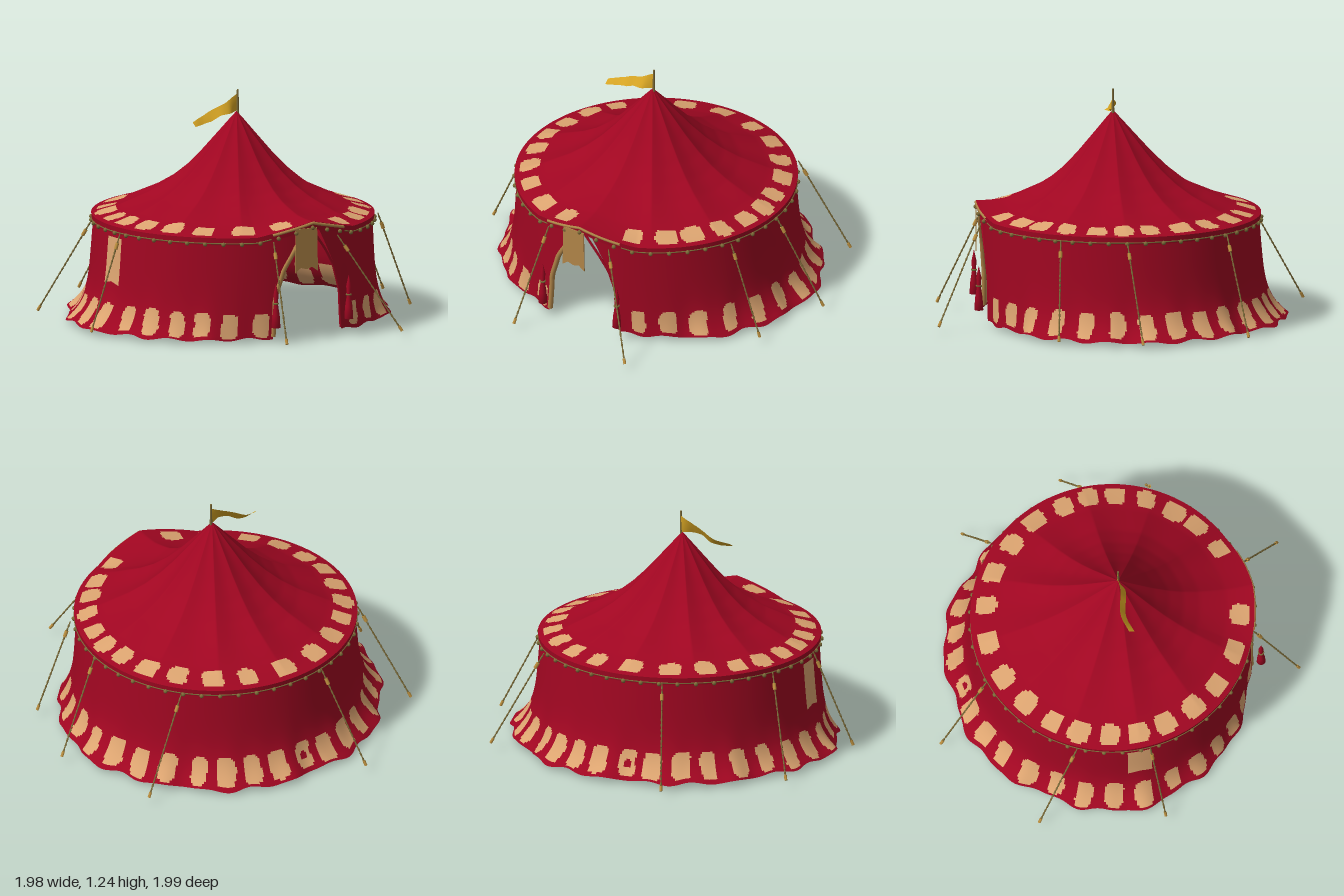
import * as THREE from 'three';

const mat = (name, color) => {
  const m = new THREE.MeshStandardMaterial({ color, side: THREE.DoubleSide });
  m.name = name;
  return m;
};
const CX = -0.02; // tent axis
const TAU = Math.PI * 2;
const { sin, cos, abs, min, max, round, pow } = Math;
const jitter = (i) => { const s = sin(i * 12.9898 + 4.1) * 43758.5453; return s - Math.floor(s) - 0.5; };
const wrap = (a) => a - TAU * round(a / TAU);
const lerp = THREE.MathUtils.lerp;

// piecewise-linear lookup in [[key, value], ...]
function lookup(pts, k) {
  for (let i = 1; i < pts.length; i++) {
    const [k0, a] = pts[i - 1], [k1, b] = pts[i];
    if (k <= k1) return lerp(a, b, max(0, (k - k0) / (k1 - k0)));
  }
  return pts[pts.length - 1][1];
}

// Hand-sewn patch directions in degrees, 0 = front, 90 = the tent's left
const ROOF_PATCHES = [22, 37, 49, 63, 77, 89, 101, 116, 131, 147, 163, 181,
  -12, -29, -47, -62, -77, -90, -103, -117, -130, -145, -161];
const HEM_PATCHES = [25, 37, 49, 62, 74, 86, 97, 108, 119, 130, 142, 152, 162, 172, 183.5,
  -22, -35, -46, -56, -67, -78, -90, -101, -112, -123, -134, -146, -156, -167];

// Is the point (angle, h) on a rounded, slightly irregular patch?
const onPatch = (list, a, h, mid, half, width) => list.some((deg, id) => {
  const dy = (h - mid - jitter(id + 90) * half * 0.25) / half;
  const off = wrap(a - deg * TAU / 360) * 360 / TAU + 0.3 * sin(dy * 3 + id);
  const dx = off / (width * (1 + jitter(id + 50) * 0.25));
  return pow(abs(dx), 4) + pow(abs(dy), 4) < 1;
});

export function createModel() {
  const tent = new THREE.Group();
  tent.name = 'pavilionTent';
  const red = mat('red canvas', 0xa00621);
  const sand = mat('sand patches', 0xdca470);
  const tan = mat('tan cloth', 0xb18548);
  const gold = mat('gold flag', 0xd6a424);
  const wood = mat('golden wood', 0xbd903f);
  const cordMat = mat('olive cord', 0x7c6b38);

  const add = (name, geo, material, parent = tent) => {
    const m = new THREE.Mesh(geo, material);
    m.name = name;
    parent.add(m);
    return m;
  };
  const V = (p) => new THREE.Vector3(...p);
  const tube = (name, pts, r, material, seg = 24) =>
    add(name, new THREE.TubeGeometry(new THREE.CatmullRomCurve3(pts.map(V)), seg, r, 6), material);

  // Grid surface; mask(u, v) true puts a cell into the second material
  function surface(name, nu, nv, closed, fn, materials, mask = () => false) {
    const pos = [], cells = [[], []], cols = closed ? nu : nu + 1;
    for (let j = 0; j <= nv; j++)
      for (let i = 0; i < cols; i++) pos.push(...fn(i / nu, j / nv));
    for (let j = 0; j < nv; j++)
      for (let i = 0; i < nu; i++) {
        const a = j * cols + i, b = j * cols + (i + 1) % cols, c = a + cols, d = b + cols;
        cells[mask((i + 0.5) / nu, (j + 0.5) / nv) ? 1 : 0].push(a, b, d, a, d, c);
      }
    const g = new THREE.BufferGeometry();
    g.setAttribute('position', new THREE.Float32BufferAttribute(pos, 3));
    g.setIndex([...cells[0], ...cells[1]]);
    g.addGroup(0, cells[0].length, 0);
    g.addGroup(cells[0].length, cells[1].length, 1);
    g.computeVertexNormals();
    return add(name, g, materials);
  }

  // Eave line, lifted over the doorway
  const lift = (a) => 0.07 * max(0, 1 - abs(wrap(a)) / 0.42);
  const rim = (a, r = 0.752, y = 0.575) =>
    [CX + sin(a) * r, y + lift(a), cos(a) * (r + lift(a) * 0.15)];

  // Roof: concave cone with ridges and sagging panels
  const roofLine = [[0, 1.125], [0.04, 1.08], [0.1, 1.01], [0.2, 0.895], [0.28, 0.815], [0.36, 0.75],
    [0.45, 0.695], [0.6, 0.627], [0.752, 0.575]];
  surface('roof', 480, 54, true, (u, v) => {
    const a = u * TAU, s = max(v, 0.002), r = 0.752 * s;
    const sag = 0.022 * 4 * s * (1 - s) * abs(sin(a * 6));
    return [CX + sin(a) * r, lookup(roofLine, r) - sag + lift(a) * pow(s, 4),
      0.035 * (1 - s) + cos(a) * (r + lift(a) * 0.15 * s)];
  }, [red, sand], (u, v) => onPatch(ROOF_PATCHES, u * TAU, v, 0.895, 0.07, 4.6));

  // Valance under the eave with its cord and knots
  surface('valance', 180, 2, true, (u, v) => rim(u * TAU, 0.752 - 0.004 * v, 0.575 - 0.04 * v), [red, red]);
  const cord = [];
  for (let i = 6; i <= 114; i++) cord.push(rim(i / 120 * TAU, 0.75, 0.545));
  tube('eaveCord', cord, 0.0035, cordMat, 120);
  const knots = new THREE.Group();
  knots.name = 'eaveKnots';
  tent.add(knots);
  for (let i = 0; i < 48; i++) {
    const k = add('knot', new THREE.SphereGeometry(0.012, 8, 6), cordMat, knots);
    k.position.set(...rim(i / 48 * TAU, 0.753, 0.54));
  }

  // Wall: nearly upright, splayed hem at the sides and back, open at the front
  const doorLine = [[0, 0.3], [0.25, 0.28], [0.4, 0.21], [0.5, 0.12], [0.6, 0.012], [0.7, 0.012]];
  const wallPoint = (a, y, out = 0) => {
    const w = abs(wrap(a)), low = 1 - min(1, max(0, (y - 0.03) / 0.53)), hem = pow(low, 6);
    const side = THREE.MathUtils.smoothstep(w, 0.25, 1.7);
    const fold = pow(low, 4) * (0.012 * sin(a * 15) + 0.011 * sin(a * 7 + 1) + 0.005 * sin(a * 31)) * min(1, w);
    const r = 0.74 + out + low * 0.042 * side + hem * (0.005 + 0.1 * side) + fold;
    return [CX + sin(a) * r, y + hem * 0.007 * sin(a * 23), cos(a) * r];
  };
  const wallAt = (u, v) => {
    const base = 0.028 + 0.532 * v, e = lookup(doorLine, base);
    return [e + u * (TAU - 2 * e), base];
  };
  const wallTop = (u, v) => {
    const [a, y] = wallAt(u, v);
    return [a, y + lift(a) * pow(v, 3)];
  };
  surface('wall', 480, 56, false, (u, v) => wallPoint(...wallTop(u, v)), [red, sand], (u, v) => {
    const [a, y] = wallAt(u, v);
    const hole = Math.hypot(wrap(a - 3.2) * 0.8, y - 0.1) < 0.02; // worn spot at the back
    return !hole && onPatch(HEM_PATCHES, a, y, 0.105, 0.064, 3.2);
  });

  // Doorway: edging and small gathered curtains on both sides
  for (const side of [-1, 1]) {
    const edge = [];
    for (let y = 0.04; y < 0.6; y += 0.05) edge.push(wallPoint(side * lookup(doorLine, y), y, -0.003));
    tube('doorEdging', edge, side < 0 ? 0.014 : 0.007, side < 0 ? tan : red);
    const prof = [[0.001, 0.09], [0.024, 0.095], [0.02, 0.16], [0.01, 0.225], [0.014, 0.27], [0.001, 0.33]];
    const bundle = add('tiedCurtain', new THREE.LatheGeometry(prof.map((p) => new THREE.Vector2(...p)), 12), red);
    bundle.position.set(CX + side * 0.232, 0, 0.76);
    const tie = add('curtainTie', new THREE.TorusGeometry(0.012, 0.005, 6, 14), cordMat);
    tie.rotation.x = Math.PI / 2;
    tie.position.set(CX + side * 0.232, 0.225, 0.76);
  }
  const trim = [];
  for (let i = -8; i <= 8; i++) trim.push(rim(i * 0.038, 0.752, 0.565));
  tube('doorTrim', trim, 0.008, tan, 40);

  // Front banner with a notched lower edge, and a cloth panel on the side wall
  const h = 0.235;
  const outline = new THREE.Shape([[-0.065, 0], [0.065, 0], [0.07, -h], [0.035, -h + 0.025], [0, -h + 0.015],
    [-0.035, -h + 0.025], [-0.07, -h]].map((p) => new THREE.Vector2(...p)));
  const banner = add('frontBanner', new THREE.ExtrudeGeometry(outline, { depth: 0.006, bevelEnabled: false }), tan);
  banner.position.set(CX - 0.038, 0.61, 0.757);
  banner.rotation.y = -0.05;
  surface('sidePanel', 8, 8, false, (u, v) =>
    wallPoint(-1.58 + (u - 0.5) * 0.17, 0.515 - v * (0.235 + 0.03 * abs(u - 0.5)), 0.006), [sand, sand]);

  // Centre pole, mast and waving flag
  const pole = add('centrePole', new THREE.CylinderGeometry(0.012, 0.021, 1.1, 12), wood);
  pole.position.set(0.006, 0.555, 0.035);
  pole.rotation.z = 0.04;
  const mast = add('flagMast', new THREE.CylinderGeometry(0.005, 0.008, 0.16, 8), cordMat);
  mast.position.set(-0.013, 1.16, 0.035);
  const flagTop = [[0, 1.215], [0.25, 1.175], [0.5, 1.145], [0.7, 1.115], [1, 1.092]];
  const flagLow = [[0, 1.125], [0.4, 1.115], [0.58, 1.085], [0.8, 1.075], [1, 1.072]];
  surface('flag', 24, 6, false, (u, v) => [-0.015 - 0.285 * u, lerp(lookup(flagTop, u), lookup(flagLow, u), v),
    0.03 + 0.01 * u + (0.014 * sin(u * 7) + 0.03 * (v - 0.5)) * min(1, u * 5)], [gold, gold]);

  // Guy ropes: [top x, top z, peg x, peg z]
  const ropes = [[-0.23, -0.72, -0.34, -0.99], [0.53, -0.54, 0.79, -0.64], [0.735, 0, 0.98, -0.07],
    [0.67, 0.35, 0.86, 0.37], [0.15, 0.745, 0.4, 0.98], [-0.24, 0.72, -0.31, 0.95],
    [-0.77, 0.05, -0.98, 0.09], [-0.7, -0.33, -0.88, -0.57]];
  for (const [x0, z0, x1, z1] of ropes) {
    const g = new THREE.Group();
    g.name = 'guyRope';
    tent.add(g);
    const a = V([x0, 0.55, z0]), b = V([x1, 0.05, z1]);
    const turn = new THREE.Quaternion().setFromUnitVectors(V([0, 1, 0]), a.clone().sub(b).normalize());
    const rod = (name, r, len, t, m) => {
      const c = add(name, new THREE.CylinderGeometry(r, r, len, 7), m, g);
      c.position.lerpVectors(a, b, t);
      c.quaternion.copy(turn);
    };
    rod('rope', 0.0035, a.distanceTo(b), 0.5, cordMat);
    rod('tensioner', 0.01, 0.035, 0.14, wood);
    rod('peg', 0.008, 0.03, 0.99, wood);
    for (let i = 1; i < 20; i++) rod('ropeTwist', 0.005, 0.014, i / 20, cordMat);
  }
  return tent;
}
